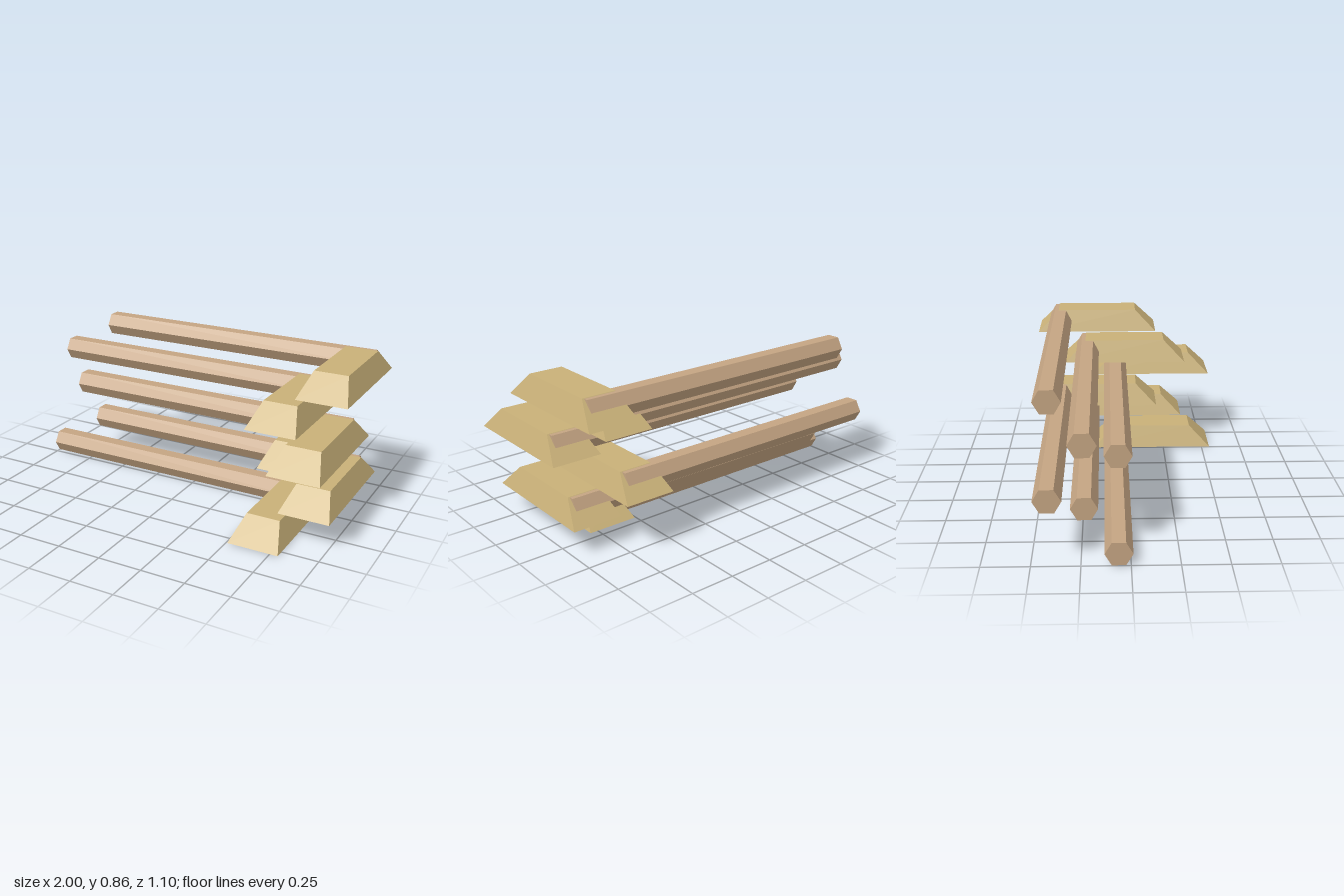
import * as THREE from 'three';

const headMaterial = new THREE.MeshStandardMaterial({ color: 0xc8b078, flatShading: true });
headMaterial.name = 'pale gold';
const handleMaterial = new THREE.MeshStandardMaterial({ color: 0xc4a482, flatShading: true });
handleMaterial.name = 'tan wood';

const HEIGHT = 0.13, STEP = 0.145;

// Ingot-shaped head: a box whose top is drawn in on all four sides
function headGeometry() {
  const width = 0.288, length = 0.75, insetX = 0.049, insetZ = 0.13;
  const g = new THREE.BoxGeometry(width, HEIGHT, length);
  const p = g.attributes.position;
  for (let i = 0; i < p.count; i++) {
    if (p.getY(i) > 0) {
      p.setX(i, p.getX(i) - Math.sign(p.getX(i)) * insetX);
      p.setZ(i, p.getZ(i) - Math.sign(p.getZ(i)) * insetZ);
    }
  }
  g.computeVertexNormals();
  return g;
}

// Six-sided bar along x, flat on top and bottom
function handleGeometry() {
  return new THREE.CylinderGeometry(0.072, 0.072, 1.735, 6).rotateZ(Math.PI / 2);
}

export function createModel() {
  const model = new THREE.Group();
  model.name = 'hammerStack';
  const headGeo = headGeometry(), handleGeo = handleGeometry();

  // Six hammers, alternating sideways and stepping back in runs of three
  for (let i = 0; i < 6; i++) {
    const hammer = new THREE.Group();
    hammer.name = `hammer${i + 1}`;

    const head = new THREE.Mesh(headGeo, headMaterial);
    head.name = 'head';
    head.position.set(0.651, HEIGHT / 2, 0.175);

    const handle = new THREE.Mesh(handleGeo, handleMaterial);
    handle.name = 'handle';
    handle.position.set(-0.1325, HEIGHT / 2, -0.061);

    hammer.add(head, handle);
    hammer.position.set((i % 2) * 0.205, i * STEP, -(i % 3) * 0.1745);
    model.add(hammer);
  }
  return model;
}
